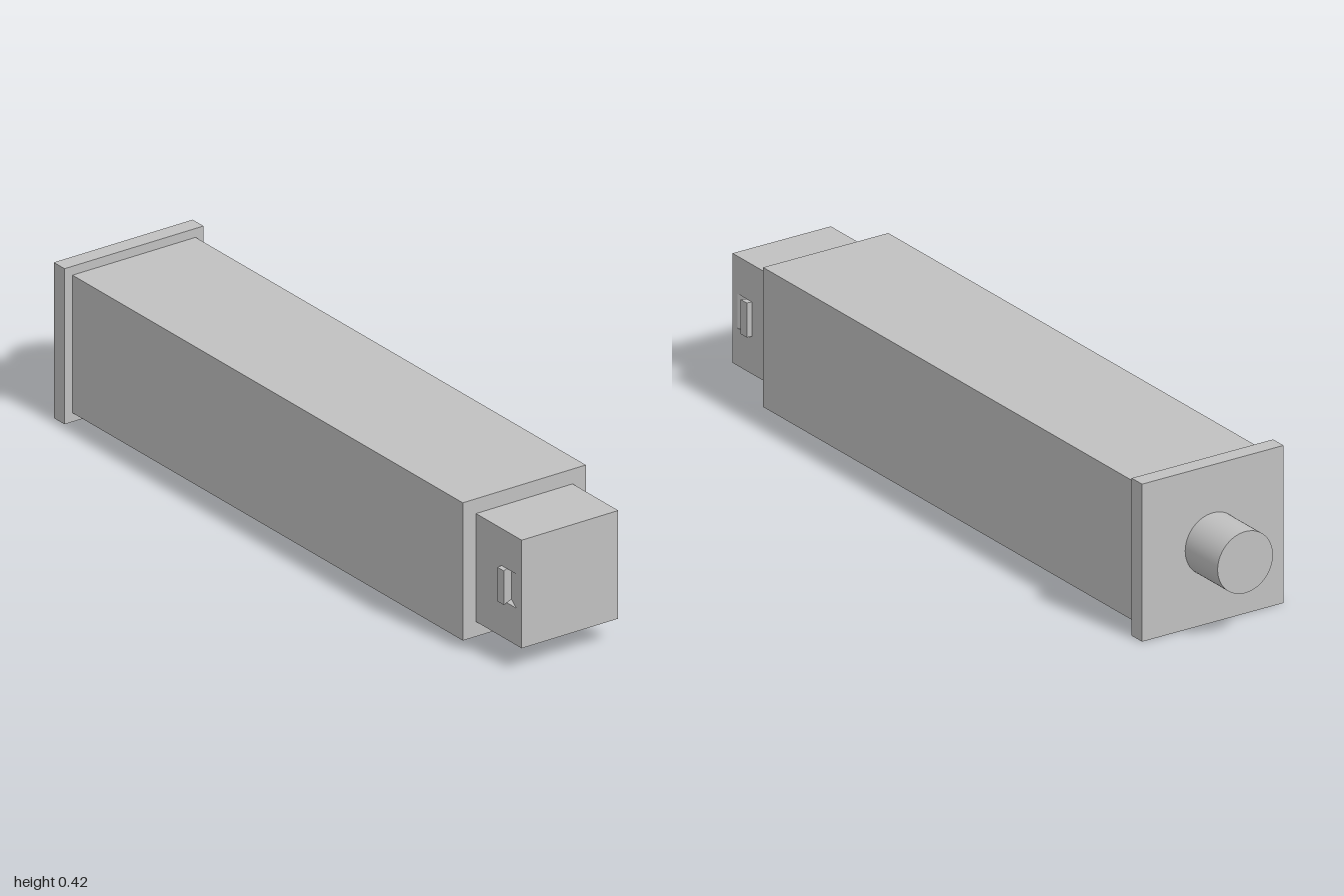
import * as THREE from 'three';

export function createModel() {
  const group = new THREE.Group();
  const gray = new THREE.MeshStandardMaterial({ color: 0xc0c0c0 });
  gray.name = 'plain gray';
  const midY = 0.21;

  const add = (name, geometry, y, z) => {
    const mesh = new THREE.Mesh(geometry, gray);
    mesh.name = name;
    mesh.position.set(0, y, z);
    group.add(mesh);
    return mesh;
  };
  // Box spanning y0..y1 and z0..z1, centred on x
  const addBox = (name, width, y0, y1, z0, z1) =>
    add(name, new THREE.BoxGeometry(width, y1 - y0, z1 - z0), (y0 + y1) / 2, (z0 + z1) / 2);

  // Long square housing and rear flange
  addBox('body', 0.372, 0.024, 0.396, -0.815, 0.81);
  addBox('rearFlange', 0.42, 0, 0.42, -0.86, -0.815);

  // Round stub at the back
  const stub = new THREE.CylinderGeometry(0.082, 0.082, 0.14, 64).rotateX(Math.PI / 2);
  add('rearStub', stub, midY, -0.93);

  // Front plug: plain above and below the latches
  const slotLow = 0.164, slotHigh = 0.256;
  addBox('plugLower', 0.292, 0.064, slotLow, 0.81, 1);
  addBox('plugUpper', 0.292, slotHigh, 0.356, 0.81, 1);

  // Middle of the plug: a sloped recess runs under a raised hook on each side
  const half = [
    [0.146, 0.81], [0.146, 0.916], [0.16, 0.918], [0.16, 0.945],
    [0.125, 0.928], [0.146, 0.978], [0.146, 1],
  ];
  const outline = [...half, ...half.map(([x, z]) => [-x, z]).reverse()];
  const shape = new THREE.Shape(outline.map(([x, z]) => new THREE.Vector2(x, z)));
  const latches = new THREE.ExtrudeGeometry(shape, { depth: slotHigh - slotLow, bevelEnabled: false });
  latches.rotateX(Math.PI / 2);
  add('plugLatches', latches, slotHigh, 0);

  return group;
}
